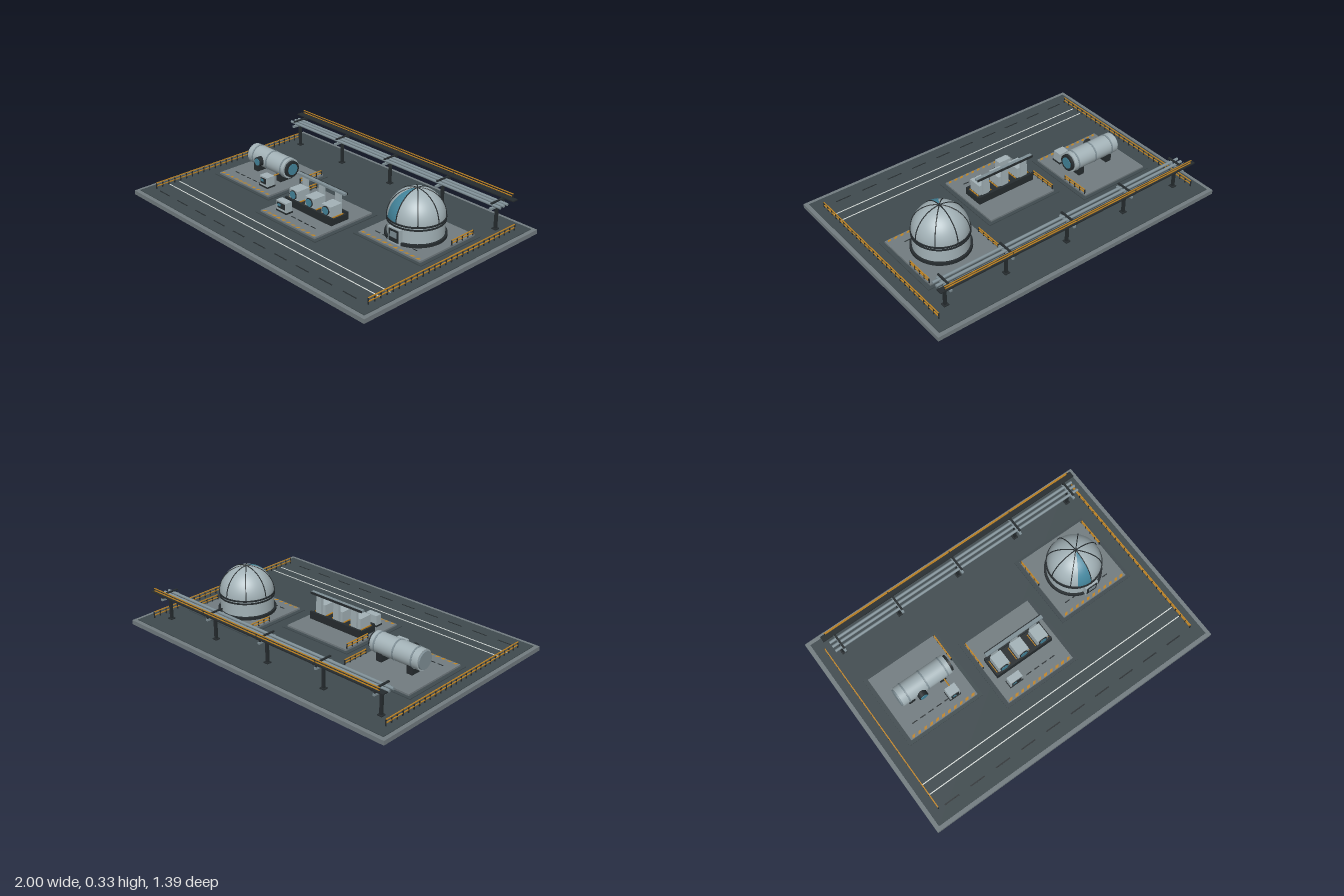
import * as THREE from 'three';

const mat = (name, color, side = THREE.FrontSide) => {
  const m = new THREE.MeshStandardMaterial({ color, side });
  m.name = name;
  return m;
};

export function createModel() {
  const root = new THREE.Group();
  root.name = 'researchOutpost';
  const concrete = mat('concrete', 0x727c80);
  const slate = mat('slateFloor', 0x3f4a4e);
  const panel = mat('palePanel', 0xa3b2b7);
  const dark = mat('darkMetal', 0x262c2f);
  const steel = mat('steel', 0x7f8f96);
  const glass = mat('tealGlass', 0x44859c);
  const amber = mat('amber', 0xc08422);
  const paint = mat('whitePaint', 0xd9dedb);

  const group = (name, parent = root) => {
    const g = new THREE.Group();
    g.name = name;
    parent.add(g);
    return g;
  };
  const add = (p, name, geo, m, x = 0, y = 0, z = 0) => {
    const mesh = new THREE.Mesh(geo, m);
    mesh.name = name;
    mesh.position.set(x, y, z);
    p.add(mesh);
    return mesh;
  };
  // Box given by its min and max corners
  const box = (p, name, m, x0, x1, y0, y1, z0, z1) =>
    add(p, name, new THREE.BoxGeometry(x1 - x0, y1 - y0, z1 - z0), m, (x0 + x1) / 2, (y0 + y1) / 2, (z0 + z1) / 2);
  const cyl = (p, name, m, r, h, x, y, z, axis = 'y', seg = 32) => {
    const c = add(p, name, new THREE.CylinderGeometry(r, r, h, seg), m, x, y, z);
    if (axis === 'x') c.rotation.z = -Math.PI / 2;
    if (axis === 'z') c.rotation.x = Math.PI / 2;
    return c;
  };
  // Two-bar guard rail running along z
  const railZ = (p, name, x, z0, z1, y0, h, posts) => {
    const g = group(name, p);
    for (const f of [0.5, 1]) box(g, 'railBar', amber, x - 0.003, x + 0.003, y0 + h * f - 0.005, y0 + h * f, z0, z1);
    for (let i = 0; i <= posts; i++) {
      const z = z0 + ((z1 - z0) * i) / posts;
      box(g, 'railPost', dark, x - 0.003, x + 0.003, y0, y0 + h - 0.002, z - 0.003, z + 0.003);
    }
  };
  // Pad with a plinth, hazard stripes and a dashed guide line
  const pad = (name, cx, z0, z1, dashZ, d0, d1) => {
    const g = group(name);
    box(g, 'padPlinth', slate, cx - 0.26, cx + 0.26, 0.03, 0.036, z0 - 0.02, z1 + 0.02);
    box(g, 'padSlab', concrete, cx - 0.235, cx + 0.235, 0.03, 0.047, z0, z1);
    const stripe = new THREE.Shape([[-0.016, -0.008], [0.004, -0.008], [0.016, 0.008], [-0.004, 0.008]].map(([x, y]) => new THREE.Vector2(x, y)));
    const stripeGeo = new THREE.ShapeGeometry(stripe).rotateX(-Math.PI / 2);
    for (let i = 0; i < 11; i++) add(g, 'hazardStripe', stripeGeo, amber, cx - 0.21 + i * 0.042, 0.0485, z1 - 0.012);
    for (let x = d0; x < d1; x += 0.057) box(g, 'guideDash', dark, x, x + 0.036, 0.047, 0.049, dashZ - 0.003, dashZ + 0.003);
    return g;
  };
  // Control console with a screen
  const consoleBox = (p, x0, x1, z0, z1) => {
    const g = group('console', p);
    box(g, 'consoleBody', panel, x0, x1, 0.047, 0.117, z0, z1);
    box(g, 'consoleFoot', dark, x0 - 0.004, x1 + 0.004, 0.047, 0.056, z0 - 0.004, z1 + 0.004);
    box(g, 'consoleScreen', dark, x0 + 0.01, x1 - 0.01, 0.072, 0.107, z1, z1 + 0.004);
    box(g, 'consoleDisplay', glass, x0 + 0.016, x0 + 0.04, 0.085, 0.1, z1, z1 + 0.006);
  };

  // Ground platform
  const ground = group('platform');
  box(ground, 'platformEdge', concrete, -1, 1, 0, 0.027, -0.693, 0.693);
  box(ground, 'platformFloor', slate, -0.975, 0.975, 0.02, 0.031, -0.668, 0.668);
  for (const z of [0.42, 0.49]) box(ground, 'laneLine', paint, -0.915, 0.915, 0.031, 0.033, z - 0.003, z + 0.003);
  for (let i = 0; i < 10; i++) box(ground, 'laneDash', dark, -0.88 + i * 0.18, -0.78 + i * 0.18, 0.031, 0.032, 0.585, 0.593);
  for (const s of [-1, 1]) railZ(ground, 'perimeterRail', s * 0.92, -0.585, 0.585, 0.031, 0.04, 26);

  // Domed observatory
  const obs = pad('observatory', 0.583, -0.358, 0.092, 0.02, 0.41, 0.74);
  railZ(obs, 'padRail', 0.351, -0.345, -0.165, 0.047, 0.033, 4);
  railZ(obs, 'padRail', 0.815, -0.345, -0.165, 0.047, 0.033, 4);
  const dome = group('dome', obs);
  dome.position.set(0.583, 0, -0.127);
  cyl(dome, 'drumFoot', dark, 0.178, 0.018, 0, 0.056, 0, 'y', 48);
  cyl(dome, 'drum', panel, 0.164, 0.11, 0, 0.11, 0, 'y', 48);
  cyl(dome, 'lowerRing', dark, 0.17, 0.009, 0, 0.149, 0, 'y', 48);
  cyl(dome, 'upperRing', dark, 0.171, 0.009, 0, 0.166, 0, 'y', 48);
  add(dome, 'domeShell', new THREE.SphereGeometry(0.165, 48, 20, 0, Math.PI * 2, 0, Math.PI / 2), panel, 0, 0.165, 0);
  add(dome, 'domeWindow', new THREE.SphereGeometry(0.1675, 12, 20, Math.PI / 2 - 0.52, 0.52, 0.1, Math.PI / 2 - 0.1), glass, 0, 0.165, 0);
  for (let i = 0; i < 4; i++)
    add(dome, 'domeRib', new THREE.TorusGeometry(0.166, 0.0032, 6, 40, Math.PI), dark, 0, 0.165, 0).rotation.y = (i * Math.PI) / 4;
  box(dome, 'porch', panel, -0.045, 0.045, 0.047, 0.142, 0.14, 0.18);
  box(dome, 'porchDoor', dark, -0.036, 0.036, 0.06, 0.134, 0.18, 0.184);
  box(dome, 'porchWindow', steel, -0.024, 0.024, 0.088, 0.122, 0.184, 0.187);

  // Horizontal pressure tank
  const lab = pad('tankLab', -0.585, -0.28, 0.172, 0.094, -0.76, -0.43);
  railZ(lab, 'padRail', -0.353, -0.268, -0.09, 0.047, 0.033, 4);
  const tank = group('tank', lab);
  tank.position.set(0, 0.138, -0.06);
  cyl(tank, 'tankShell', panel, 0.063, 0.34, -0.575, 0, 0, 'x', 40);
  for (const x of [-0.7, -0.57, -0.435]) cyl(tank, 'tankBand', steel, 0.0655, 0.01, x, 0, 0, 'x', 40);
  cyl(tank, 'leftCap', steel, 0.055, 0.012, -0.748, 0, 0, 'x');
  cyl(tank, 'rightHatch', dark, 0.052, 0.024, -0.4, 0, 0, 'x');
  cyl(tank, 'rightHatchGlass', glass, 0.036, 0.004, -0.387, 0, 0, 'x');
  cyl(tank, 'portholeFrame', dark, 0.03, 0.04, -0.622, 0, 0.068, 'z', 24);
  cyl(tank, 'portholeGlass', glass, 0.023, 0.004, -0.622, 0, 0.089, 'z', 24);
  for (const x of [-0.685, -0.465]) box(tank, 'tankLeg', dark, x - 0.02, x + 0.02, -0.092, -0.035, -0.05, 0.05);
  consoleBox(lab, -0.5, -0.43, 0.053, 0.11);
  cyl(lab, 'feedPipe', amber, 0.004, 0.075, -0.462, 0.1, 0.022, 'z', 8);

  // Row of instrument cabinets under an overhead beam
  const arr = pad('instrumentRow', 0, -0.127, 0.325, 0.248, -0.05, 0.17);
  railZ(arr, 'padRail', -0.232, -0.115, 0.065, 0.047, 0.033, 4);
  box(arr, 'rowBase', dark, -0.2, 0.2, 0.047, 0.085, 0.03, 0.165);
  for (const z of [0.037, 0.158]) box(arr, 'rowCurb', dark, -0.2, 0.2, 0.085, 0.095, z - 0.007, z + 0.007);
  for (const x of [-0.14, 0, 0.14]) {
    box(arr, 'cabinet', panel, x - 0.038, x + 0.038, 0.085, 0.153, 0.06, 0.15);
    cyl(arr, 'lensFrame', dark, 0.028, 0.008, x, 0.122, 0.152, 'z', 24);
    cyl(arr, 'lens', glass, 0.024, 0.004, x, 0.122, 0.156, 'z', 24);
    box(arr, 'beamPost', panel, x - 0.02, x + 0.02, 0.085, 0.21, 0.044, 0.062);
    for (const s of [-1, 1]) box(arr, 'sideTrim', amber, x + s * 0.047 - 0.002, x + s * 0.047 + 0.002, 0.085, 0.092, 0.06, 0.145);
  }
  box(arr, 'overheadBeam', steel, -0.203, 0.203, 0.207, 0.22, 0.044, 0.066);
  box(arr, 'beamBack', dark, -0.203, 0.203, 0.207, 0.22, 0.038, 0.044);
  consoleBox(arr, -0.17, -0.085, 0.212, 0.256);

  // Pipe rack with an elevated walkway
  const rack = group('pipeRack');
  for (const x of [-0.835, -0.43, 0, 0.43, 0.835]) {
    box(rack, 'rackPost', dark, x - 0.008, x + 0.008, 0.03, 0.175, -0.528, -0.512);
    box(rack, 'postFoot', dark, x - 0.016, x + 0.016, 0.03, 0.037, -0.536, -0.504);
    box(rack, 'crossbeam', steel, x - 0.007, x + 0.007, 0.17, 0.183, -0.585, -0.456);
    box(rack, 'walkwayBracket', dark, x - 0.006, x + 0.006, 0.205, 0.212, -0.6, -0.465);
    box(rack, 'bracketStrut', dark, x - 0.005, x + 0.005, 0.18, 0.208, -0.58, -0.57);
  }
  for (const z of [-0.488, -0.52, -0.55]) cyl(rack, 'pipe', steel, 0.009, 1.77, 0, 0.192, z, 'x', 14);
  box(rack, 'walkway', dark, -0.912, 0.912, 0.211, 0.218, -0.604, -0.566);
  for (const y of [0.23, 0.245]) box(rack, 'walkwayRail', amber, -0.885, 0.885, y - 0.005, y, -0.6, -0.595);
  for (let i = 0; i <= 4; i++) {
    const x = -0.882 + i * 0.441;
    box(rack, 'walkwayRailPost', dark, x - 0.003, x + 0.003, 0.215, 0.244, -0.6, -0.595);
  }
  return root;
}
